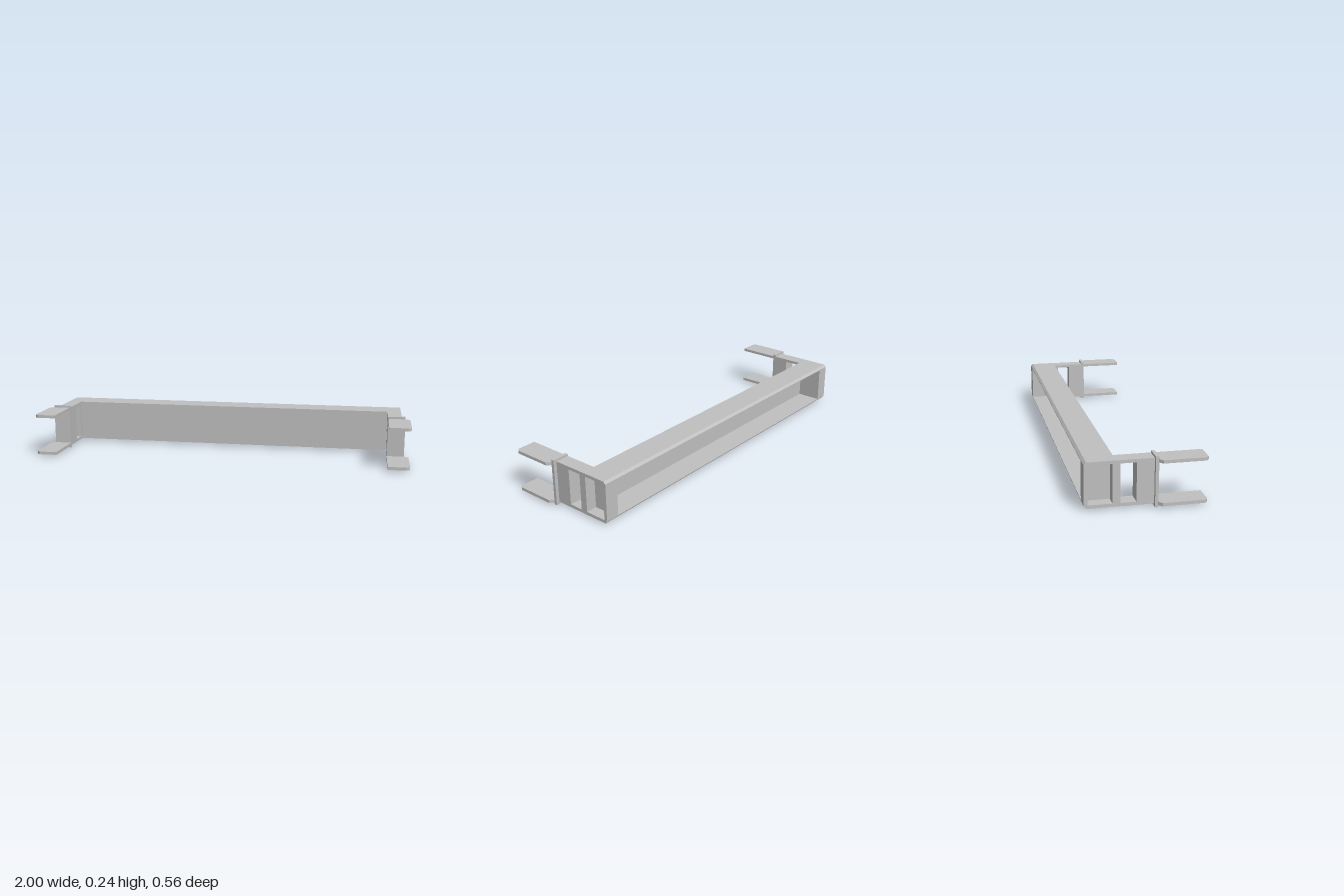
import * as THREE from 'three';

export function createModel() {
  const model = new THREE.Group();
  model.name = 'bracketFrame';
  const metal = new THREE.MeshStandardMaterial({ color: 0xc0c0c0 });
  metal.name = 'lightGreyMetal';

  const add = (parent, name, geometry) => {
    const mesh = new THREE.Mesh(geometry, metal);
    mesh.name = name;
    parent.add(mesh);
    return mesh;
  };
  // box given by its limits on each axis
  const block = (parent, name, x0, x1, y0, y1, z0, z1) =>
    add(parent, name, new THREE.BoxGeometry(x1 - x0, y1 - y0, z1 - z0)
      .translate((x0 + x1) / 2, (y0 + y1) / 2, (z0 + z1) / 2));
  const extrude = (points, depth) => new THREE.ExtrudeGeometry(
    new THREE.Shape(points.map(([x, y]) => new THREE.Vector2(x, y))),
    { depth, bevelEnabled: false });

  const inner = 0.887, outer = 0.96;
  const yLow = 0.012, yHigh = 0.231, thick = 0.0155;
  const yIn0 = yLow + thick, yIn1 = yHigh - thick;
  const zBack = -0.282, zWeb = -0.136, zArm = 0.041, zCollar = 0.057, zTip = 0.283;

  // long flanges with a chamfered rear edge; section is drawn in (-z, y)
  const flangeSection = (edge, face, chamferY) => [
    [-zWeb, face], [-zBack, face], [-zBack, chamferY], [-zBack - 0.0115, edge], [-zWeb, edge],
  ];
  const flanges = [
    ['topFlange', flangeSection(yHigh, yIn1, yHigh - 0.0115)],
    ['bottomFlange', flangeSection(yLow, yIn0, yLow + 0.0115)],
  ];
  for (const [name, section] of flanges) {
    const geometry = extrude(section, outer * 2);
    geometry.translate(0, 0, -outer).rotateY(Math.PI / 2);
    add(model, name, geometry);
  }

  // front wall of the channel
  block(model, 'channelWall', -inner, inner, yIn0, yIn1, zWeb - 0.015, zWeb);
  for (const [name, y0, y1] of [['topWallEdge', yIn1, yHigh], ['bottomWallEdge', yLow, yIn0]])
    block(model, name, -inner, inner, y0, y1, zWeb, zWeb + 0.0005);

  // prong outline in (x, -z), with both outer corners clipped
  const prongOutline = [
    [inner, -zTip], [0.985, -zTip], [1, -zTip + 0.014],
    [1, -zCollar - 0.014], [0.985, -zCollar], [inner, -zCollar],
  ];

  for (const side of [1, -1]) {
    const arm = new THREE.Group();
    arm.name = side > 0 ? 'leftArm' : 'rightArm';
    model.add(arm);
    const span = (name, a, b, y0, y1, z0, z1) =>
      block(arm, name, Math.min(side * a, side * b), Math.max(side * a, side * b), y0, y1, z0, z1);

    // arm rails, ribs and the closed front block
    span('armTopRail', inner, outer, yIn1, yHigh, zWeb, zArm);
    span('armBottomRail', inner, outer, yLow, yIn0, zWeb, zArm);
    span('middleRib', inner, outer, yIn0, yIn1, zWeb - 0.015, -0.115);
    span('frontBlock', inner, outer, yIn0, yIn1, -0.041, zArm);

    // recessed pocket at the end of the channel
    span('endPost', inner, outer, yIn0, yIn1, zBack, zBack + 0.0165);
    span('pocketPanel', inner, inner + 0.015, yIn0, yIn1, zBack + 0.0165, zWeb - 0.015);

    // collar plate and the two prongs
    span('collar', inner, 0.977, 0, 0.242, zArm, zCollar);
    for (const [name, y] of [['upperProng', yIn1], ['lowerProng', yLow]]) {
      const outline = prongOutline.map(([x, z]) => [side * x, z]);
      const geometry = extrude(outline, thick);
      geometry.rotateX(-Math.PI / 2).translate(0, y, 0);
      add(arm, name, geometry);
    }
  }
  return model;
}
